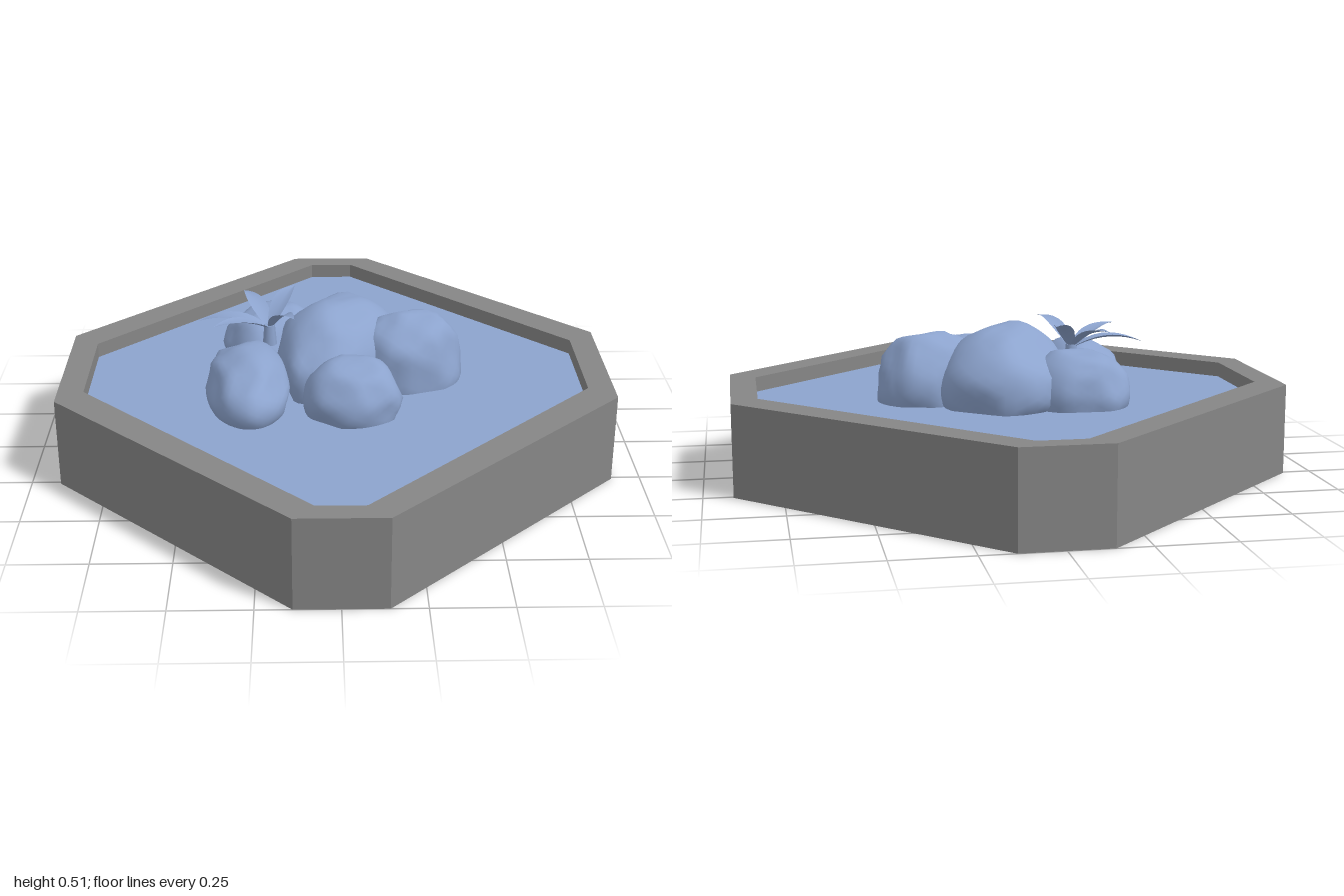
import * as THREE from 'three';
import { mergeVertices } from 'three/addons/utils/BufferGeometryUtils.js';

const stone = new THREE.MeshStandardMaterial({ name: 'stone grey', color: 0x868686 });
const blue = new THREE.MeshStandardMaterial({ name: 'water blue', color: 0x8ca3cd, side: THREE.DoubleSide });

function seeded(seed) {
  let s = seed;
  return () => (s = (s * 16807) % 2147483647) / 2147483647;
}

// Elongated octagon, given by its flat-end half widths and its reach
function octagon(endX, reachZ, reachX, endZ) {
  return [[endX, -reachZ], [reachX, -endZ], [reachX, endZ], [endX, reachZ],
    [-endX, reachZ], [-reachX, endZ], [-reachX, -endZ], [-endX, -reachZ]]
    .map(([x, y]) => new THREE.Vector2(x, y));
}

function mesh(name, geometry, material) {
  const m = new THREE.Mesh(geometry, material);
  m.name = name;
  return m;
}

// Boulder: a sphere chipped by random planes, tapered along z, then stretched
function boulder({ seed, at, size, yaw = 0, taper = 0 }) {
  const rand = seeded(seed * 7919);
  for (let i = 0; i < 5; i++) rand();
  const cuts = Array.from({ length: 26 }, () => {
    const y = rand() * 2 - 1, a = rand() * Math.PI * 2, r = Math.sqrt(1 - y * y);
    return { n: new THREE.Vector3(r * Math.cos(a), y, r * Math.sin(a)), d: 0.87 + rand() * 0.1 };
  });
  let g = new THREE.IcosahedronGeometry(1, 7);
  g.deleteAttribute('uv');
  g.deleteAttribute('normal');
  g = mergeVertices(g, 1e-4);
  const p = g.attributes.position, v = new THREE.Vector3();
  for (let i = 0; i < p.count; i++) {
    v.fromBufferAttribute(p, i).normalize();
    let r = 1;
    for (const { n, d } of cuts) {
      const c = n.dot(v);
      if (c > 0.5) r = Math.min(r, d / c);
    }
    r *= 1.03 + 0.02 * Math.sin(v.x * 7 + seed) * Math.sin(v.z * 8 + seed * 2) * Math.cos(v.y * 6);
    v.multiplyScalar(r);
    v.x *= 1 - taper * v.z;
    p.setXYZ(i, v.x * size[0], v.y * size[1], v.z * size[2]);
  }
  g.rotateY(yaw);
  g.translate(...at);
  g.computeVertexNormals();
  return g;
}

// Leaf: a creased ribbon that follows a curve and narrows to a tip
function leaf(base, bend, tip, halfWidth) {
  const curve = new THREE.QuadraticBezierCurve3(
    new THREE.Vector3(...base), new THREE.Vector3(...bend), new THREE.Vector3(...tip));
  const rows = 9, pos = [], index = [];
  const side = new THREE.Vector3(tip[2] - base[2], 0, base[0] - tip[0]).normalize();
  for (let i = 0; i <= rows; i++) {
    const t = i / rows, c = curve.getPoint(t);
    const w = halfWidth * (0.2 * (1 - t) + Math.sin(Math.PI * Math.pow(t, 0.85)));
    for (const k of [-1, 0, 1]) {
      pos.push(c.x + side.x * w * k, c.y + Math.abs(k) * w * 0.35, c.z + side.z * w * k);
    }
  }
  for (let i = 0; i < rows; i++) {
    for (let k = 0; k < 2; k++) {
      const a = i * 3 + k, b = a + 1, c = a + 3, d = a + 4;
      index.push(a, b, c, b, d, c);
    }
  }
  const g = new THREE.BufferGeometry();
  g.setAttribute('position', new THREE.Float32BufferAttribute(pos, 3));
  g.setIndex(index);
  g.computeVertexNormals();
  return g;
}

export function createModel() {
  const model = new THREE.Group();
  model.name = 'rockPool';
  const outer = octagon(0.14, 1, 0.905, 0.26);
  const inner = octagon(0.075, 0.93, 0.82, 0.19);

  // Stone wall with an open centre
  const ring = new THREE.Shape(outer);
  ring.holes.push(new THREE.Path(inner));
  const wall = new THREE.ExtrudeGeometry(ring, { depth: 0.3, bevelEnabled: false });
  model.add(mesh('basinWall', wall.rotateX(-Math.PI / 2), stone));

  // Underside and water surface
  const floor = new THREE.ShapeGeometry(new THREE.Shape(inner)).rotateX(Math.PI / 2);
  model.add(mesh('basinFloor', floor, stone));
  const water = new THREE.ShapeGeometry(new THREE.Shape(inner)).rotateX(-Math.PI / 2);
  model.add(mesh('water', water.translate(0, 0.25, 0), blue));

  // Heap of boulders
  const rocks = new THREE.Group();
  rocks.name = 'boulders';
  const heap = [
    ['centreBoulder', { seed: 3, at: [0, 0.3, -0.07], size: [0.2, 0.2, 0.3], yaw: -0.3, taper: 0.22 }],
    ['backLeftBoulder', { seed: 11, at: [-0.21, 0.29, -0.2], size: [0.17, 0.15, 0.165] }],
    ['frontLeftBoulder', { seed: 23, at: [-0.29, 0.29, 0.13], size: [0.135, 0.125, 0.245], yaw: 0.08 }],
    ['rightBoulder', { seed: 37, at: [0.25, 0.3, -0.03], size: [0.18, 0.185, 0.16], yaw: 0.3 }],
    ['frontBoulder', { seed: 53, at: [0.055, 0.29, 0.23], size: [0.16, 0.14, 0.145] }],
  ];
  for (const [name, spec] of heap) rocks.add(mesh(name, boulder(spec), blue));
  model.add(rocks);

  // Small plant growing between the boulders
  const plant = new THREE.Group();
  plant.name = 'plant';
  const root = [-0.22, 0.41, -0.06];
  const tips = [
    [-0.46, 0.43, -0.08], [-0.4, 0.475, 0.075], [-0.135, 0.505, 0.085],
    [-0.135, 0.505, -0.21], [-0.31, 0.485, -0.22],
  ];
  for (const tip of tips) {
    const bend = [root[0] * 0.5 + tip[0] * 0.5, Math.max(tip[1], 0.47) + 0.005, root[2] * 0.5 + tip[2] * 0.5];
    plant.add(mesh('leaf', leaf(root, bend, tip, 0.027), blue));
  }
  const stem = new THREE.CylinderGeometry(0.018, 0.024, 0.07, 8).translate(root[0], 0.39, root[2]);
  plant.add(mesh('stem', stem, blue));
  model.add(plant);

  return model;
}
